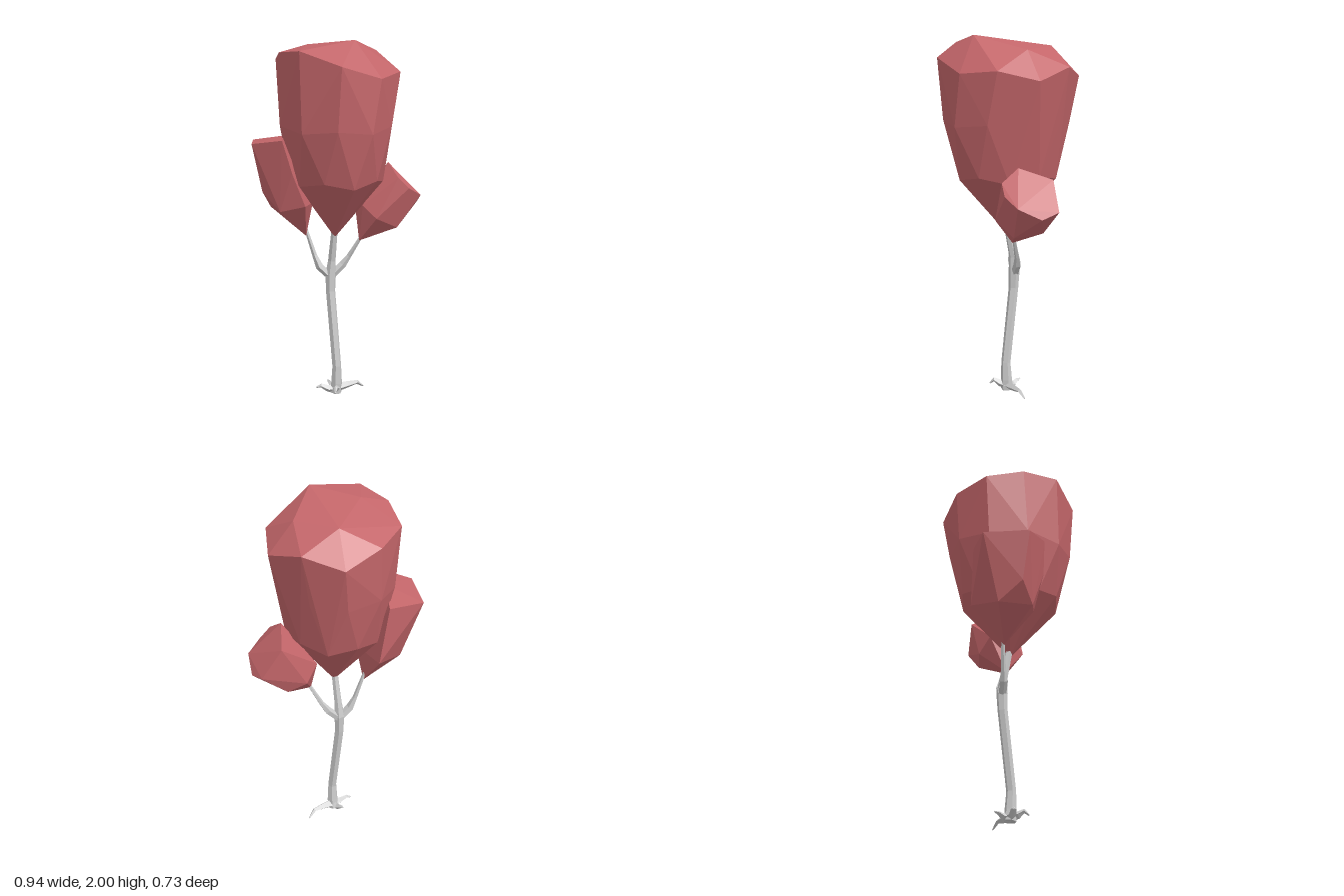
import * as THREE from 'three';
import { ConvexGeometry } from 'three/addons/geometries/ConvexGeometry.js';

const bark = new THREE.MeshStandardMaterial({ color: 0xcccccc, flatShading: true });
const leaf = new THREE.MeshStandardMaterial({ color: 0xc4666a, flatShading: true });

// Faceted limb: stations of [x, y, z, radius] joined by polygonal rings, capped at both ends
function limb(name, stations, sides = 5) {
  const pts = stations.map(s => new THREE.Vector3(s[0], s[1], s[2]));
  const pos = [], index = [], n = pts.length;
  const whole = pts[n - 1].clone().sub(pts[0]);
  const ref = Math.abs(whole.y) > whole.length() * 0.6
    ? new THREE.Vector3(0, 0, 1) : new THREE.Vector3(0, 1, 0);
  pts.forEach((p, i) => {
    const dir = pts[Math.min(i + 1, n - 1)].clone().sub(pts[Math.max(i - 1, 0)]).normalize();
    const u = new THREE.Vector3().crossVectors(ref, dir).normalize();
    const v = new THREE.Vector3().crossVectors(dir, u);
    for (let k = 0; k < sides; k++) {
      const a = (k / sides) * Math.PI * 2, r = stations[i][3];
      const q = p.clone().addScaledVector(u, Math.cos(a) * r).addScaledVector(v, Math.sin(a) * r);
      pos.push(q.x, Math.max(q.y, 0), q.z);
    }
  });
  for (let i = 0; i < n - 1; i++) {
    for (let k = 0; k < sides; k++) {
      const a = i * sides + k, b = i * sides + (k + 1) % sides;
      index.push(a, b, b + sides, a, b + sides, a + sides);
    }
  }
  const last = (n - 1) * sides;
  for (let k = 1; k < sides - 1; k++) {
    index.push(0, k + 1, k, last, last + k, last + k + 1);
  }
  const geo = new THREE.BufferGeometry();
  geo.setAttribute('position', new THREE.Float32BufferAttribute(pos, 3));
  geo.setIndex(index);
  geo.computeVertexNormals();
  const mesh = new THREE.Mesh(geo, bark);
  mesh.name = name;
  return mesh;
}

// Faceted foliage clump around a few corner points
function clump(name, corners) {
  const mesh = new THREE.Mesh(new ConvexGeometry(corners.map(c => new THREE.Vector3(...c))), leaf);
  mesh.name = name;
  return mesh;
}

// Ring of corners with alternating height
function ring(count, y, wobble, rx, rz, cx, turn) {
  return Array.from({ length: count }, (_, i) => {
    const a = turn + (i / count) * Math.PI * 2;
    return [cx + Math.cos(a) * rx, y + (i % 2 ? wobble : -wobble), Math.sin(a) * rz];
  });
}

export function createModel() {
  const tree = new THREE.Group();
  tree.name = 'tree';

  // Trunk and branches
  tree.add(
    limb('trunk', [
      [-0.015, 0.01, 0, 0.034], [-0.012, 0.07, 0.005, 0.032], [-0.012, 0.17, 0.008, 0.026],
      [-0.03, 0.6, -0.045, 0.027], [-0.028, 0.7, -0.048, 0.031],
      [-0.024, 0.78, -0.04, 0.022], [-0.02, 0.98, 0, 0.018],
    ], 6),
    limb('rightBranch', [
      [-0.035, 0.69, -0.05, 0.022], [-0.09, 0.745, -0.06, 0.023], [-0.115, 0.81, -0.07, 0.014], [-0.165, 0.98, -0.09, 0.009],
    ]),
    limb('leftBranch', [
      [-0.02, 0.69, -0.05, 0.022], [0.04, 0.75, -0.04, 0.022], [0.072, 0.8, -0.025, 0.014], [0.135, 0.93, 0.02, 0.009],
    ]),
  );

  // Roots, arched with drooping tips
  const roots = [
    [[0.06, 0.04, -0.01], [0.12, 0.043, -0.02], [0.163, 0.008, -0.035]],
    [[-0.06, 0.035, 0], [-0.1, 0.055, -0.01], [-0.127, 0.045, -0.015]],
    [[-0.025, 0.045, 0.04], [-0.04, 0.065, 0.07], [-0.05, 0.042, 0.092]],
    [[-0.02, 0.03, -0.04], [-0.03, 0.045, -0.065], [-0.035, 0.05, -0.088]],
  ];
  for (const [a, b, c] of roots) {
    tree.add(limb('root', [[-0.01, 0.035, 0, 0.028], [...a, 0.02], [...b, 0.012], [...c, 0.004]], 4));
  }

  // Main crown: pointed base, widening rings, uneven rim and domed top
  tree.add(clump('mainCrown', [
    [-0.02, 0.92, 0],
    ...ring(10, 1.25, 0.015, 0.25, 0.275, -0.01, 0.3),
    ...ring(10, 1.54, 0.01, 0.305, 0.345, -0.02, 0),
    [-0.1, 1.85, -0.345], [0.11, 1.78, -0.365], [0.28, 1.84, -0.23], [0.365, 1.78, -0.03],
    [0.285, 1.83, 0.17], [0.125, 1.81, 0.315], [-0.105, 1.88, 0.36], [-0.275, 1.95, 0.195],
    [-0.32, 1.93, -0.02], [-0.28, 1.88, -0.225],
    [0.22, 1.93, -0.02], [0.02, 2, 0.2], [0.07, 1.94, -0.22], [-0.17, 1.97, 0],
  ]));

  // Side crowns
  tree.add(clump('leftCrown', [
    [0.115, 0.895, 0.02], [0.12, 1.1, 0.06], [0.12, 1.1, -0.07], [0.27, 1.33, 0.05],
    [0.345, 1.27, -0.115], [0.29, 1.26, 0.15], [0.35, 1.2, 0.157], [0.435, 1.15, 0.12],
    [0.455, 1.12, -0.1], [0.468, 1.09, 0], [0.31, 0.97, 0.09], [0.3, 0.98, -0.08],
    [0.17, 1.04, 0.14], [0.2, 1.02, -0.11],
  ]));
  tree.add(clump('rightCrown', [
    [-0.16, 0.92, -0.08], [-0.47, 1.455, -0.04], [-0.4, 1.44, -0.277], [-0.2, 1.45, -0.27],
    [-0.34, 1.485, 0.09], [-0.28, 1.485, -0.08], [-0.41, 1.19, -0.06], [-0.335, 1.08, -0.17],
    [-0.335, 1.09, 0.02], [-0.21, 1.12, 0.07], [-0.15, 1.13, -0.265], [-0.29, 1.31, 0.1],
    [-0.14, 1.12, -0.02],
  ]));

  return tree;
}
